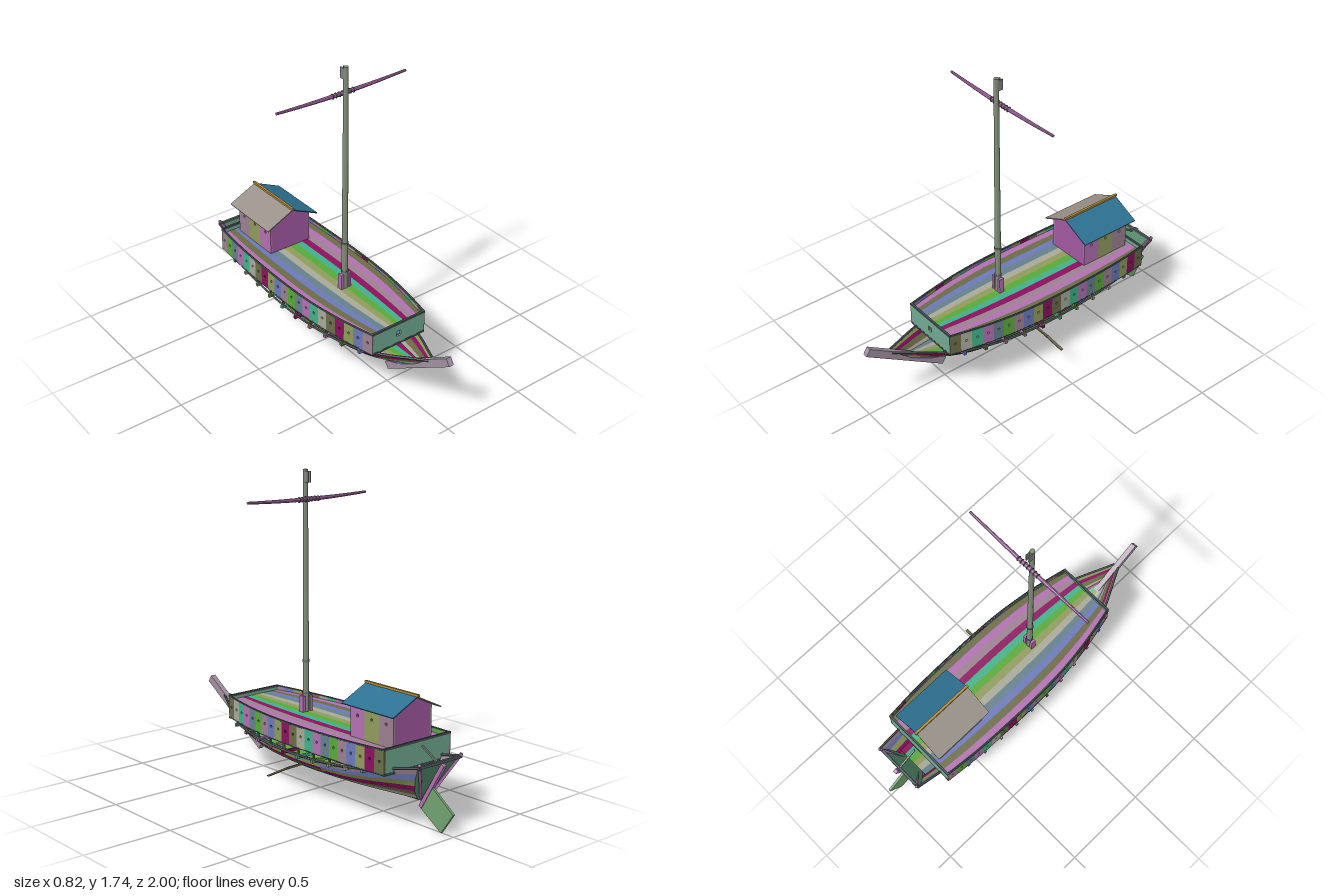
import * as THREE from 'three';

const V = (x, y, z) => new THREE.Vector3(x, y, z);
const PALETTE = [0xb070b0, 0x6b6b48, 0x6b78b8, 0x64808c, 0xa8a898, 0x8f9a5c, 0x58a838, 0x40b088, 0x8c1060, 0x9a8090];
const tint = i => PALETTE[((i % 10) + 10) % 10];
const mat = c => new THREE.MeshStandardMaterial({ color: c, flatShading: true, side: THREE.DoubleSide });
const vec2s = list => list.map(p => new THREE.Vector2(...p));

export function createModel() {
  const ship = new THREE.Group();
  ship.name = 'ship';
  const add = (name, geo, color) => {
    const m = new THREE.Mesh(geo, mat(color));
    m.name = name;
    ship.add(m);
    return m;
  };
  // Square timber between two points
  const bar = (name, a, b, w, h, color) => {
    const m = add(name, new THREE.BoxGeometry(w, h, a.distanceTo(b)), color);
    m.position.copy(a).add(b).multiplyScalar(0.5);
    m.lookAt(b);
    return m;
  };
  const tube = (name, pts, r, color) =>
    add(name, new THREE.TubeGeometry(new THREE.CatmullRomCurve3(pts), 40, r, 6), color);
  // Ribbon between two functions that return a point for t in [t0, t1]
  const ribbon = (name, fa, fb, t0, t1, n, color) => {
    const pos = [], idx = [];
    for (let i = 0; i <= n; i++) {
      const t = t0 + (t1 - t0) * i / n;
      pos.push(...fa(t).toArray(), ...fb(t).toArray());
      if (i < n) idx.push(2 * i, 2 * i + 1, 2 * i + 2, 2 * i + 1, 2 * i + 3, 2 * i + 2);
    }
    const g = new THREE.BufferGeometry();
    g.setAttribute('position', new THREE.Float32BufferAttribute(pos, 3));
    g.setIndex(idx);
    g.computeVertexNormals();
    return add(name, g, color);
  };
  // Upright side panel in z and y with one port, bent to the half width
  const panel = (name, z0, z1, y0, yTop, hole, holeY, width, side, color) => {
    const s = new THREE.Shape(vec2s([[z0, y0], [z1, y0], [z1, yTop(z1)], [z0, yTop(z0)]]));
    s.holes.push(new THREE.Path().absarc((z0 + z1) / 2, holeY, hole, 0, Math.PI * 2, true));
    const g = new THREE.ExtrudeGeometry(s, { depth: 0.012, bevelEnabled: false, curveSegments: 4 });
    const p = g.attributes.position;
    for (let i = 0; i < p.count; i++) {
      const z = p.getX(i);
      p.setXYZ(i, side * (width(z) - p.getZ(i)), p.getY(i), z);
    }
    g.computeVertexNormals();
    add(name, g, color);
  };

  // Hull lines from keel to sheer, stern to bow
  const lines = [
    [[0, 0.135, -0.77], [0, 0.118, -0.3], [0, 0.113, 0.1], [0, 0.122, 0.35], [0, 0.15, 0.55]],
    [[0.035, 0.155, -0.78], [0.062, 0.132, -0.32], [0.062, 0.126, 0.1], [0.045, 0.145, 0.39], [0.012, 0.195, 0.62]],
    [[0.09, 0.215, -0.815], [0.128, 0.172, -0.35], [0.13, 0.166, 0.1], [0.098, 0.193, 0.45], [0.012, 0.27, 0.74]],
    [[0.13, 0.29, -0.855], [0.19, 0.225, -0.38], [0.192, 0.217, 0.1], [0.138, 0.248, 0.5], [0.012, 0.325, 0.8]],
    [[0.155, 0.37, -0.9], [0.205, 0.268, -0.4], [0.206, 0.255, 0.1], [0.16, 0.295, 0.52], [0.015, 0.36, 0.84]],
  ].map(l => new THREE.CatmullRomCurve3(l.map(p => V(...p))));
  const hullPoint = (u, t, side) => {
    const k = Math.min(3, Math.floor(u));
    const p = lines[k].getPoint(t).lerp(lines[k + 1].getPoint(t), u - k);
    p.x *= side;
    return p;
  };
  for (const side of [-1, 1]) {
    for (let j = 0; j < 8; j++) {
      for (let k = 0; k < 3; k++) {
        ribbon('hullPlank', t => hullPoint(j / 2, t, side), t => hullPoint((j + 1) / 2, t, side),
          k / 3, (k + 1) / 3, 8, tint(j * 7 + k * 3));
      }
    }
    const rail = [];
    for (let i = 0; i <= 16; i++) rail.push(hullPoint(4, i / 16, side));
    tube('gunwale', rail, 0.007, 0x556060);
  }
  // Sloped stern and low planked floor inside the hull
  ribbon('transom', u => hullPoint(u, 0, -1), u => hullPoint(u, 0, 1), 0, 4, 8, 0x508868);
  for (let i = 0; i < 6; i++) {
    const edge = f => t => {
      const p = hullPoint(2.2, t, 1);
      p.x *= f;
      return p;
    };
    ribbon('floorPlank', edge(-1 + i / 3), edge(-1 + (i + 1) / 3), 0.01, 0.98, 20, tint(i + 3));
  }
  bar('transomBeam', V(-0.155, 0.368, -0.898), V(0.155, 0.368, -0.898), 0.014, 0.014, 0x556060);
  for (const s of [-1, 1]) {
    bar('sternPost', V(s * 0.15, 0.385, -0.905), V(s * 0.035, 0.17, -0.805), 0.014, 0.014, 0xb070b0);
  }
  bar('stem', V(0, 0.125, 0.51), V(0, 0.435, 0.985), 0.03, 0.045, 0xa090a0);

  // Upper deck, laid in long planks that follow the side curve
  const Z0 = -0.745, Z1 = 0.585;
  const plan = new THREE.SplineCurve(vec2s([[-0.745, 0.236], [-0.5, 0.256], [-0.15, 0.263], [0.1, 0.256], [0.3, 0.234],
    [0.45, 0.207], [0.585, 0.177]])).getPoints(60);
  const halfWidth = z => {
    let i = 0;
    while (i < plan.length - 2 && plan[i + 1].x < z) i++;
    const a = plan[i], b = plan[i + 1];
    return a.y + (b.y - a.y) * (z - a.x) / (b.x - a.x);
  };
  const top = z => 0.43 + 0.02 * z * z;
  const DECK = 0.415;
  for (let i = 0; i < 12; i++) {
    const edge = f => z => V((halfWidth(z) - 0.01) * f, DECK, z);
    ribbon('deckPlank', edge(-1 + i / 6), edge(-1 + (i + 1) / 6), Z0, Z1, 20, tint(i));
  }

  // Bulwarks with ports, posts and outrigger frame
  const N = 21, step = (Z1 - Z0) / N;
  const beamZ = i => -0.6 + i * 0.122;
  const beamY = z => 0.258 + 0.12 * z * z;
  for (const side of [-1, 1]) {
    const rim = [], low = [], sill = [];
    for (let i = 0; i < N; i++) {
      const z = Z0 + i * step;
      panel('bulwarkPanel', z, z + step, 0.31, top, 0.007, 0.378, halfWidth, side, tint(i * 7 + side));
    }
    for (let i = 0; i <= 24; i++) {
      const z = Z0 + (Z1 - Z0) * i / 24, x = side * (halfWidth(z) - 0.004);
      rim.push(V(x, top(z), z));
      low.push(V(x, 0.312, z));
    }
    tube('topRail', rim, 0.006, 0x445050);
    tube('lowerRail', low, 0.005, 0x445050);
    for (let i = 0; i < 10; i++) {
      const z = beamZ(i), x = side * (halfWidth(z) - 0.012);
      sill.push(V(x, beamY(z) + 0.008, z));
      bar('outriggerPost', V(x, beamY(z) - 0.006, z), V(x, 0.315, z), 0.01, 0.01, 0x6b6b48);
    }
    tube('outriggerRail', sill, 0.006, 0x667070);
  }
  for (let i = 0; i < 10; i++) {
    const z = beamZ(i), x = halfWidth(z) + 0.002;
    bar('crossBeam', V(-x, beamY(z), z), V(x, beamY(z), z), 0.016, 0.016, tint(i + 3));
  }

  // End walls, the front one with a small window
  for (const [z, w, win] of [[Z1 - 0.01, 0.177, true], [Z0, 0.236, false]]) {
    const s = new THREE.Shape(vec2s([[-w, 0.308], [w, 0.308], [w, top(z)], [-w, top(z)]]));
    if (win) s.holes.push(new THREE.Path(vec2s([[-0.014, 0.36], [-0.014, 0.39], [0.014, 0.39], [0.014, 0.36]])));
    add(win ? 'frontWall' : 'rearWall', new THREE.ExtrudeGeometry(s, { depth: 0.01, bevelEnabled: false }), 0x70a890).position.z = z;
    for (const y of [0.312, top(z)]) bar('wallRail', V(-w, y, z + 0.005), V(w, y, z + 0.005), 0.012, 0.012, 0x445050);
  }

  // Cabin
  for (const side of [-1, 1]) {
    [0x9a8090, 0x8f9a5c, 0xb070b0].forEach((c, i) => {
      const z = -0.705 + i * 0.105;
      panel('cabinSide', z, z + 0.105, DECK, () => 0.605, 0.008, 0.535, () => 0.135, side, c);
    });
    const roof = bar('roofSlope', V(side * 0.0845, 0.629, -0.738), V(side * 0.0845, 0.629, -0.36), 0.189, 0.006,
      side > 0 ? 0x2c7090 : 0x989088);
    roof.rotateZ(-side * Math.atan2(0.08, 0.17));
  }
  const gable = new THREE.Shape(vec2s([[-0.13, DECK], [0.13, DECK], [0.13, 0.605], [0, 0.666], [-0.13, 0.605]]));
  for (const z of [-0.705, -0.4]) {
    add('cabinEnd', new THREE.ExtrudeGeometry(gable, { depth: 0.01, bevelEnabled: false }), 0xa058a0).position.z = z;
  }
  bar('ridgePole', V(0, 0.676, -0.745), V(0, 0.676, -0.357), 0.014, 0.012, 0xb08838);

  // Mast, its step and the curved yard
  const mast = add('mast', new THREE.CylinderGeometry(0.0135, 0.018, 1.325, 12), 0x808c78);
  mast.position.set(0, 1.0775, 0.12);
  for (const s of [-1, 1]) {
    bar('mastStepPost', V(s * 0.025, DECK, 0.12), V(s * 0.025, 0.505, 0.12), 0.016, 0.03, 0xb070b0);
    bar('mastheadCheek', V(s * 0.009, 1.67, 0.105), V(s * 0.009, 1.73, 0.105), 0.006, 0.036, 0x808080);
  }
  for (const y of [0.52, 0.7]) {
    const band = add('mastBand', new THREE.CylinderGeometry(0.02, 0.02, 0.012, 12), 0x667070);
    band.position.set(0, y, 0.12);
  }
  for (const s of [-1, 1]) {
    const arm = add('yardArm', new THREE.CylinderGeometry(0.007, 0.012, 0.41, 8, 6), 0xb070b0);
    const p = arm.geometry.attributes.position;
    for (let i = 0; i < p.count; i++) {
      const d = p.getY(i) + 0.205, r = p.getX(i);
      // The lower end of the cylinder is the thick one, at the mast
      p.setXYZ(i, s * d, 1.583 + 0.06 * d * d + r, 0.095 + p.getZ(i));
    }
    arm.geometry.computeVertexNormals();
  }
  for (let i = -3; i <= 3; i++) {
    const ring = add('yardLashing', new THREE.TorusGeometry(0.0125, 0.003, 5, 10), 0x505050);
    ring.rotation.y = Math.PI / 2;
    ring.position.set(i * 0.022, 1.583, 0.095);
  }

  // Rudder, tiller and side oar
  const blade = new THREE.Shape(vec2s([[-0.85, 0.23], [-0.765, 0.105], [-0.92, 0.005], [-1, 0.12]]));
  const rudder = add('rudderBlade', new THREE.ExtrudeGeometry(blade, { depth: 0.014, bevelEnabled: false }), 0x70a070);
  rudder.rotation.y = -Math.PI / 2;
  rudder.position.x = 0.007;
  bar('rudderStock', V(0, 0.105, -0.775), V(0, 0.36, -0.925), 0.022, 0.022, 0xb070b0);
  bar('tiller', V(0, 0.425, -0.775), V(0, 0.345, -0.91), 0.01, 0.01, 0x708070);
  bar('oarShaft', V(0.03, 0.18, -0.02), V(0.26, 0.173, -0.02), 0.01, 0.01, 0x6b6b48);
  bar('oarBlade', V(0.24, 0.175, -0.02), V(0.385, 0.16, -0.02), 0.016, 0.005, 0x6b6b48);
  return ship;
}
